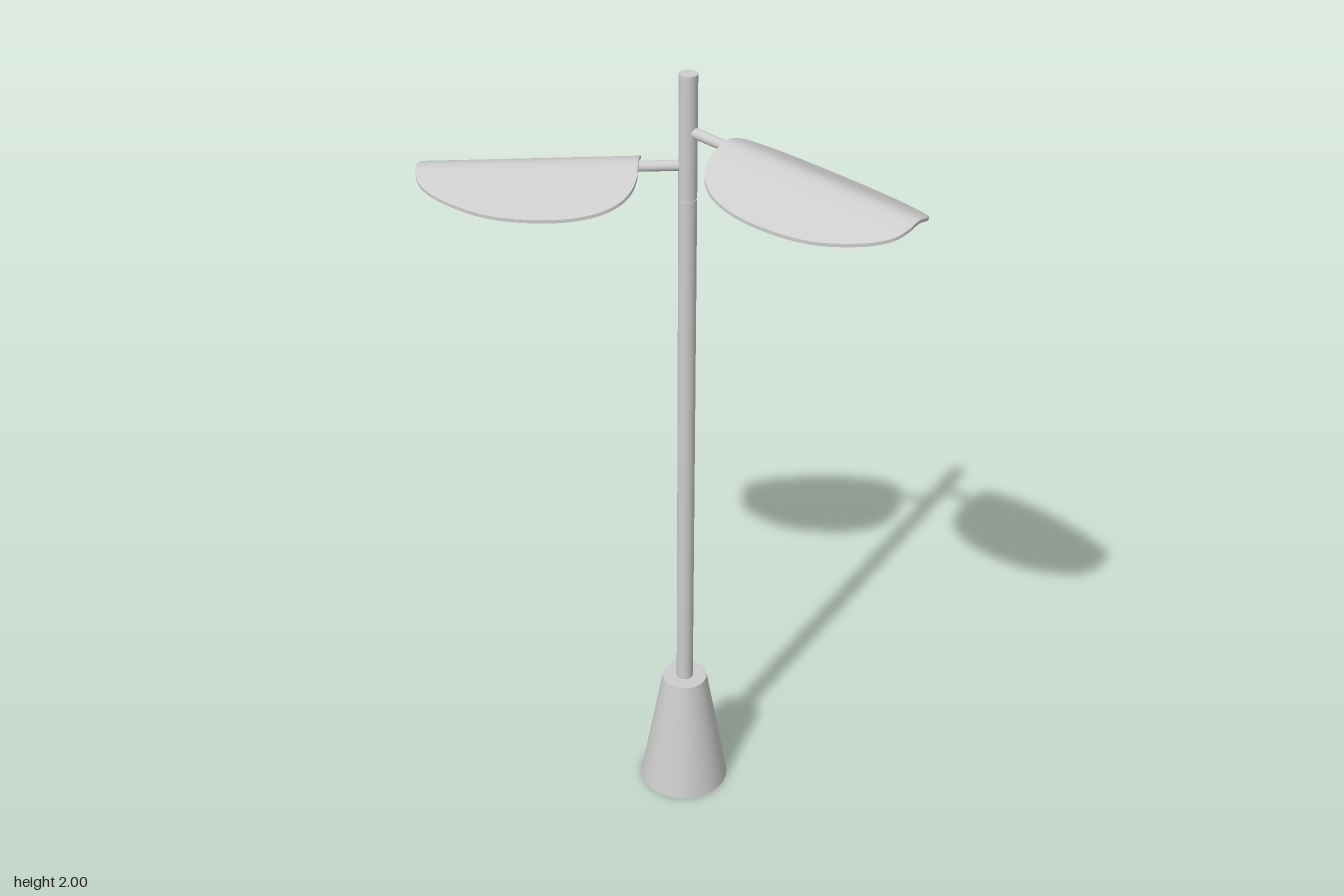
import * as THREE from 'three';

const POLE_R = 0.021;
const grey = new THREE.MeshStandardMaterial({ color: 0xcccccc });
grey.name = 'light grey';

// Smooth surface from a rule p(i, j) over a grid of rows x cols points
function sheet(rows, cols, p, flip) {
  const pos = [], index = [];
  for (let i = 0; i < rows; i++) for (let j = 0; j < cols; j++) pos.push(...p(i, j));
  for (let i = 0; i < rows - 1; i++) for (let j = 0; j < cols - 1; j++) {
    const a = i * cols + j, b = a + 1, c = a + cols, d = c + 1;
    index.push(...(flip ? [a, c, b, b, c, d] : [a, b, c, b, d, c]));
  }
  const g = new THREE.BufferGeometry();
  g.setAttribute('position', new THREE.Float32BufferAttribute(pos, 3));
  g.setIndex(index);
  g.computeVertexNormals();
  return g;
}

function add(parent, name, geometry, x = 0, y = 0, z = 0) {
  const m = new THREE.Mesh(geometry, grey);
  m.name = name;
  m.position.set(x, y, z);
  parent.add(m);
  return m;
}

// Leaf-shaped shade folded along a soft ridge
function addShade(parent) {
  const THICK = 0.008, START = 0.108, N = 48, M = 24;
  const outline = new THREE.SplineCurve([
    [0, 0.05], [0.008, 0.08], [0.03, 0.109], [0.07, 0.132], [0.13, 0.146], [0.2, 0.149],
    [0.28, 0.143], [0.35, 0.128], [0.42, 0.1], [0.46, 0.076], [0.482, 0.053], [0.492, 0.025],
  ].map(([x, w]) => new THREE.Vector2(x, w))).getPoints(N);
  const rows = outline.length;
  const point = (i, j, drop = 0) => {
    const { x, y: w } = outline[i];
    const z = w * (j / M * 2 - 1);
    return [START + x, -0.55 * (Math.hypot(z, 0.03) - 0.03) - drop, z];
  };
  // perimeter walk for the thin rim
  const loop = [];
  for (let i = 0; i < rows; i++) loop.push([i, M]);
  for (let j = M - 1; j >= 0; j--) loop.push([rows - 1, j]);
  for (let i = rows - 2; i >= 0; i--) loop.push([i, 0]);
  for (let j = 1; j <= M; j++) loop.push([0, j]);

  add(parent, 'shadeTop', sheet(rows, M + 1, (i, j) => point(i, j), false));
  add(parent, 'shadeUnderside', sheet(rows, M + 1, (i, j) => point(i, j, THICK), true));
  add(parent, 'shadeRim', sheet(loop.length, 2, (i, j) => point(...loop[i], j * THICK), false));
}

// Arm with end socket and shade, reaching along local +x
function lampHead(name, y, angle) {
  const head = new THREE.Group();
  head.name = name;
  const arm = new THREE.CylinderGeometry(0.012, 0.012, 0.3, 24).rotateZ(Math.PI / 2);
  const socket = new THREE.CylinderGeometry(0.015, 0.015, 0.05, 24).rotateZ(Math.PI / 2);
  add(head, 'arm', arm, 0.15, -0.017, 0);
  add(head, 'socket', socket, 0.295, -0.019, 0);
  addShade(head);
  head.position.y = y;
  head.rotation.set(0, angle, -0.06);
  return head;
}

export function createModel() {
  const model = new THREE.Group();
  model.name = 'floorLamp';
  const lamp = new THREE.Group();
  lamp.name = 'lamp';
  lamp.position.set(-0.045, 0, -0.118);
  model.add(lamp);

  // Tapered base: sharp-edged rings, with a deep bore open at the bottom
  const ring = (...pts) => new THREE.LatheGeometry(pts.map(([r, y]) => new THREE.Vector2(r, y)), 64);
  add(lamp, 'baseWall', ring([0.114, 0], [0.057, 0.335]));
  add(lamp, 'baseTop', ring([0.057, 0.335], [0, 0.335]));
  add(lamp, 'baseBottom', ring([0.042, 0], [0.114, 0]));
  add(lamp, 'baseBore', ring([0.042, 0.3], [0.042, 0]));
  add(lamp, 'baseBoreEnd', ring([0, 0.3], [0.042, 0.3]));

  // Pole in two lengths with a fine joint between them
  const tube = (r, y0, y1, name) =>
    add(lamp, name, new THREE.CylinderGeometry(r, r, y1 - y0, 40), 0, (y0 + y1) / 2, 0);
  tube(POLE_R, 0.33, 1.706, 'lowerPole');
  tube(POLE_R - 0.002, 1.7, 1.715, 'poleJoint');
  tube(POLE_R, 1.709, 2, 'upperPole');

  // Two heads at different heights and directions
  lamp.add(lampHead('upperHead', 1.886, 0));
  lamp.add(lampHead('lowerHead', 1.804, Math.PI + 0.62));
  return model;
}
